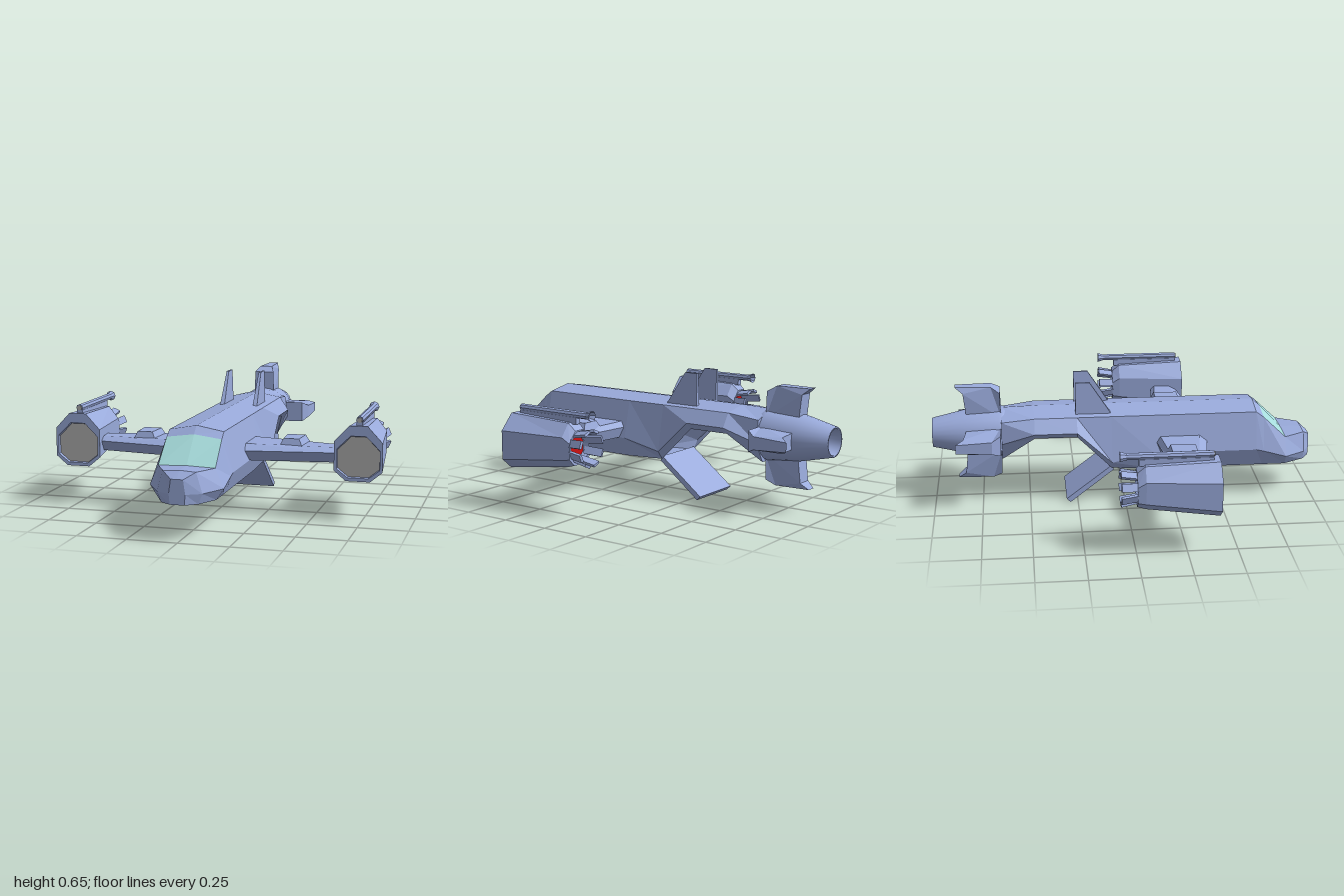
import * as THREE from 'three';

const paint = (color, flatShading = true) =>
  new THREE.MeshStandardMaterial({ color, flatShading, side: THREE.DoubleSide });

const blue = paint(0x9aabdc);
const smoothBlue = paint(0x9aabdc, false);
const glass = paint(0xa8dede);
const grey = paint(0xb0b0b0);
const red = paint(0xcc1111);

function add(parent, name, geometry, material = blue) {
  const mesh = new THREE.Mesh(geometry, material);
  mesh.name = name;
  parent.add(mesh);
  return mesh;
}

// Skin over closed rings of [x, y, z]; keep(i, j) picks faces, caps close the ends
function loft(rings, { keep = () => true, capStart = false, capEnd = false } = {}) {
  const n = rings[0].length, index = [];
  for (let i = 0; i < rings.length - 1; i++) {
    for (let j = 0; j < n; j++) {
      if (!keep(i, j)) continue;
      const k = (j + 1) % n, a = i * n, b = a + n;
      index.push(a + j, a + k, b + k, a + j, b + k, b + j);
    }
  }
  const last = (rings.length - 1) * n;
  for (let j = 1; j < n - 1; j++) {
    if (capStart) index.push(0, j + 1, j);
    if (capEnd) index.push(last, last + j, last + j + 1);
  }
  const geometry = new THREE.BufferGeometry();
  geometry.setAttribute('position', new THREE.Float32BufferAttribute(rings.flat(2), 3));
  geometry.setIndex(index);
  const faceted = geometry.toNonIndexed();
  faceted.computeVertexNormals();
  return faceted;
}

// Side outline of [z, y] points, extruded across x
function plate(points, width) {
  const shape = new THREE.Shape(points.map(([z, y]) => new THREE.Vector2(z, y)));
  return new THREE.ExtrudeGeometry(shape, { depth: width, bevelEnabled: false })
    .translate(0, 0, -width / 2).rotateY(-Math.PI / 2);
}

// Moves every vertex by a rule
function reshape(geometry, rule) {
  const p = geometry.attributes.position, v = new THREE.Vector3();
  for (let i = 0; i < p.count; i++) {
    rule(v.fromBufferAttribute(p, i));
    p.setXYZ(i, v.x, v.y, v.z);
  }
  geometry.computeVertexNormals();
  return geometry;
}

function buildFuselage(group) {
  // z, roof ridge y, roof edge x y, widest x y, belly x y
  const rings = [
    [1.0, 0.30, 0.03, 0.30, 0.04, 0.23, 0.035, 0.18],
    [0.96, 0.335, 0.08, 0.33, 0.11, 0.23, 0.09, 0.18],
    [0.85, 0.335, 0.14, 0.33, 0.182, 0.235, 0.145, 0.18],
    [0.73, 0.463, 0.137, 0.445, 0.182, 0.27, 0.145, 0.18],
    [0.69, 0.5, 0.136, 0.475, 0.182, 0.28, 0.145, 0.18],
    [0.15, 0.5, 0.136, 0.475, 0.182, 0.28, 0.145, 0.18],
    [-0.07, 0.5, 0.136, 0.475, 0.182, 0.235, 0.145, 0.19],
    [-0.25, 0.5, 0.136, 0.475, 0.182, 0.405, 0.145, 0.37],
    [-0.47, 0.5, 0.136, 0.475, 0.182, 0.405, 0.145, 0.37],
    [-0.64, 0.495, 0.125, 0.455, 0.14, 0.34, 0.08, 0.235],
  ].map(([z, yc, xt, yt, xm, ym, xb, yb]) => [
    [0, yc, z], [xt, yt, z], [xm, ym, z], [xb, yb, z],
    [-xb, yb, z], [-xm, ym, z], [-xt, yt, z],
  ]);
  const isGlass = (i, j) => i === 2 && (j === 0 || j === 6);
  const isHatch = (i, j) => (i === 6 || i === 7) && j === 3;
  add(group, 'fuselage', loft(rings, {
    keep: (i, j) => !isGlass(i, j) && !isHatch(i, j), capStart: true, capEnd: true,
  }));
  add(group, 'windscreen', loft(rings, { keep: isGlass }), glass);

  // Loading ramp hanging from the rear hatch
  add(group, 'loadingRamp', plate(
    [[-0.07, 0.205], [-0.31, 0.02], [-0.29, 0], [-0.06, 0.18]], 0.29));

  // Dorsal fins
  for (const side of [-1, 1]) {
    const fin = reshape(
      plate([[-0.07, 0.48], [-0.18, 0.65], [-0.255, 0.65], [-0.255, 0.48]], 0.024),
      (v) => { if (v.y > 0.6) v.x *= 0.5; });
    add(group, 'dorsalFin', fin).position.x = side * 0.09;
  }
}

function buildTail(group) {
  const tail = new THREE.Group();
  tail.name = 'tail';
  tail.position.y = 0.367;
  group.add(tail);

  // Hollow tapering boom
  const profile = [[0.125, 0.62], [0.135, 0.65], [0.118, 0.82], [0.077, 1], [0.066, 1], [0.06, 0.84], [0, 0.84]];
  const boom = new THREE.LatheGeometry(profile.map(([r, d]) => new THREE.Vector2(r, d)), 24);
  add(tail, 'tailBoom', boom.toNonIndexed().rotateX(-Math.PI / 2), smoothBlue);

  // Four stubby fins with swept lips
  const outline = [[-0.64, 0.09], [-0.645, 0.225], [-0.69, 0.253], [-0.875, 0.253], [-0.835, 0.222], [-0.82, 0.09]];
  for (let i = 0; i < 4; i++) {
    const fin = reshape(plate(outline, 0.11), (v) => {
      v.x *= 1 + (v.z + 0.64) * 1.4;
      if (v.y > 0.24) v.x *= 0.65;
    });
    add(tail, 'tailFin', fin).rotation.z = i * Math.PI / 2;
  }
}

// Eight-sided engine section, clockwise from the top
function octagon(z, hw, yb, yt, k) {
  const half = [[0.045 * k, yt], [hw, yt - 0.08 * k], [hw, yb + 0.05 * k], [0.06 * k, yb]];
  return [...half, ...half.map(([x, y]) => [-x, y]).reverse()].map(([x, y]) => [x, y, z]);
}

function buildEngine() {
  const engine = new THREE.Group();
  engine.name = 'engine';
  engine.position.x = 0.732;

  const intake = octagon(0.385, 0.104, 0.225, 0.425, 0.85);
  const nozzle = octagon(0.03, 0.06, 0.285, 0.41, 0.55);
  add(engine, 'nacelle', loft([
    intake, octagon(0.4, 0.107, 0.222, 0.43, 0.85), octagon(0.4, 0.12, 0.205, 0.48, 1),
    octagon(0.04, 0.086, 0.25, 0.465, 0.8), octagon(0, 0.078, 0.26, 0.43, 0.7),
    octagon(0, 0.066, 0.275, 0.418, 0.6), nozzle,
  ]));
  add(engine, 'intakeFace', loft([intake], { capStart: true }), grey);
  add(engine, 'exhaustGlow', loft([nozzle], { capEnd: true }), red);

  // Splayed nozzle petals
  for (let i = 0; i < 8; i++) {
    const pivot = new THREE.Group();
    pivot.name = 'nozzlePetal';
    pivot.position.y = 0.345;
    pivot.rotation.z = (i + 0.5) * Math.PI / 4;
    const petal = add(pivot, 'petal', new THREE.BoxGeometry(0.04, 0.014, 0.1));
    petal.position.set(0, 0.077, -0.028);
    petal.rotation.x = 0.2;
    engine.add(pivot);
  }

  // Slim tube on a rail above the nacelle
  add(engine, 'topRail', new THREE.BoxGeometry(0.03, 0.035, 0.36)).position.set(0, 0.475, 0.19);
  add(engine, 'topTube', new THREE.CylinderGeometry(0.018, 0.018, 0.42, 8).rotateX(Math.PI / 2))
    .position.set(0, 0.505, 0.16);
  add(engine, 'tubeFlare', new THREE.CylinderGeometry(0.014, 0.027, 0.04, 8, 1, true).rotateX(Math.PI / 2))
    .position.set(0, 0.505, -0.06);
  add(engine, 'tubeTip', new THREE.CylinderGeometry(0.013, 0.013, 0.01, 8).rotateX(Math.PI / 2), grey)
    .position.set(0, 0.505, 0.37);
  return engine;
}

function buildWing() {
  const wing = new THREE.Group();
  wing.name = 'wing';
  const section = (x, zb, zf, top) => [
    [x, top, zb + 0.02], [x, top, zf - 0.04], [x, 0.335, zf],
    [x, 0.28, zf - 0.04], [x, 0.28, zb + 0.02], [x, 0.335, zb],
  ];
  add(wing, 'wingPanel', loft(
    [section(0.13, 0.16, 0.435, 0.365), section(0.18, 0.165, 0.425, 0.365), section(0.64, 0.22, 0.36, 0.355)],
    { capStart: true, capEnd: true }));

  // Raised fairing on the wing
  const fairing = reshape(new THREE.BoxGeometry(0.15, 0.05, 0.16), (v) => {
    if (v.z > 0) v.x *= 0.85;
    if (v.y > 0) { v.x *= 0.62; v.z *= 0.8; }
  });
  add(wing, 'wingFairing', fairing).position.set(0.385, 0.367, 0.277);
  wing.add(buildEngine());
  return wing;
}

export function createModel() {
  const model = new THREE.Group();
  model.name = 'transportAircraft';
  buildFuselage(model);
  buildTail(model);
  for (const side of [1, -1]) {
    const wing = buildWing();
    wing.name = side > 0 ? 'leftWing' : 'rightWing';
    wing.scale.x = side;
    model.add(wing);
  }
  return model;
}
